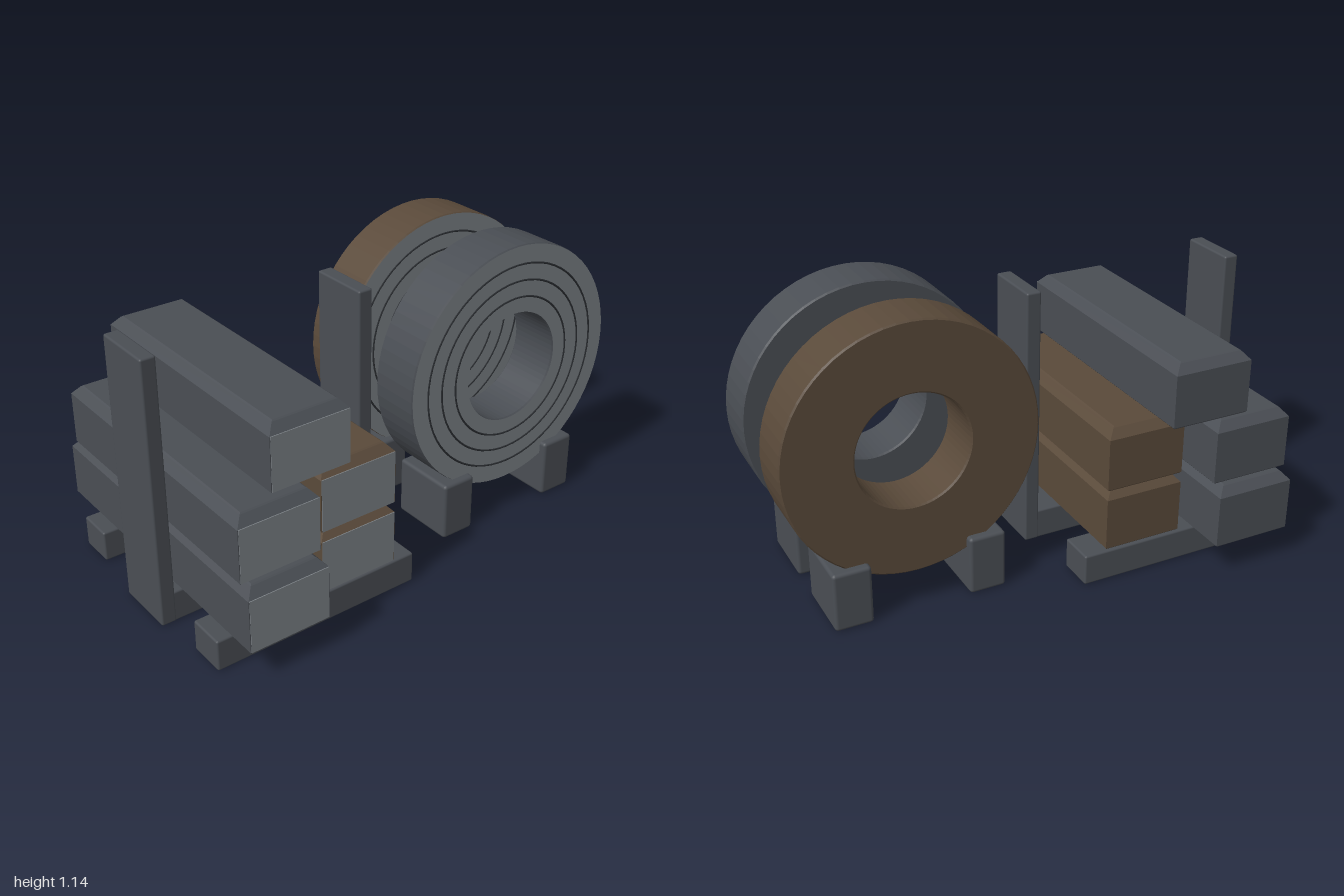
import * as THREE from 'three';
import { RoundedBoxGeometry } from 'three/addons/geometries/RoundedBoxGeometry.js';

const material = (name, color) => {
  const m = new THREE.MeshStandardMaterial({ color });
  m.name = name;
  return m;
};

// Hard-edged copy of a geometry
function faceted(geo) {
  const g = geo.index ? geo.toNonIndexed() : geo;
  g.computeVertexNormals();
  return g;
}

// Ingot body: rectangular sections stacked upward, chamfered at the top
function ingotGeometry(w, h, d) {
  const sections = [[0, 0.007], [0.007, 0], [h - 0.038, 0], [h - 0.004, 0.03], [h, 0.036]];
  const pos = [], idx = [];
  for (const [y, inset] of sections) {
    const x = w / 2 - inset, z = d / 2 - inset;
    pos.push(-x, y, z, x, y, z, x, y, -z, -x, y, -z);
  }
  for (let s = 0; s < sections.length - 1; s++) {
    for (let i = 0; i < 4; i++) {
      const a = s * 4 + i, b = s * 4 + (i + 1) % 4;
      idx.push(a, b, b + 4, a, b + 4, a + 4);
    }
  }
  const t = (sections.length - 1) * 4;
  idx.push(0, 2, 1, 0, 3, 2, t, t + 1, t + 2, t, t + 2, t + 3);
  const g = new THREE.BufferGeometry();
  g.setAttribute('position', new THREE.Float32BufferAttribute(pos, 3));
  g.setIndex(idx);
  return faceted(g);
}

export function createModel() {
  const model = new THREE.Group();
  model.name = 'metalStockStorage';
  const steel = material('darkSteel', 0x4a4e54);
  const rust = material('rustBrown', 0x5a4a3a);
  const cut = material('cutFaceGrey', 0x7d8388);
  const line = material('windingLine', 0x2b2e32);

  const add = (parent, name, geo, mat, x = 0, y = 0, z = 0) => {
    const mesh = new THREE.Mesh(geo, mat);
    mesh.name = name;
    mesh.position.set(x, y, z);
    parent.add(mesh);
    return mesh;
  };
  // Softened box given by its limits on each axis
  const box = (parent, name, [x0, x1], [y0, y1], [z0, z1], r = 0.008) =>
    add(parent, name, new RoundedBoxGeometry(x1 - x0, y1 - y0, z1 - z0, 2, r), steel,
      (x0 + x1) / 2, (y0 + y1) / 2, (z0 + z1) / 2);

  // Rack: three bearers and two upright posts
  const rack = new THREE.Group();
  rack.name = 'rack';
  model.add(rack);
  box(rack, 'frontBearer', [-0.97, -0.112], [0, 0.125], [0.352, 0.503]);
  box(rack, 'backBearer', [-0.97, -0.112], [0, 0.125], [-0.456, -0.306]);
  box(rack, 'middleBearer', [-0.97, -0.085], [0, 0.125], [-0.073, 0.174]);
  box(rack, 'rightPost', [-1, -0.94], [0, 1.067], [-0.075, 0.176]);
  box(rack, 'leftPost', [-0.115, -0.055], [0, 1.067], [-0.075, 0.176]);

  // Stacked ingots: centre x, bottom y, back z, front z, colour
  const ingots = [
    [-0.752, 0.127, -0.628, 0.628, steel],
    [-0.752, 0.381, -0.581, 0.581, steel],
    [-0.367, 0.127, -0.45, 0.503, rust],
    [-0.367, 0.381, -0.45, 0.503, rust],
    [-0.579, 0.635, -0.544, 0.521, steel],
  ];
  const w = 0.325, h = 0.254;
  ingots.forEach(([x, y, z0, z1, mat], i) => {
    const ingot = new THREE.Group();
    ingot.name = 'ingot' + (i + 1);
    ingot.position.set(x, y, (z0 + z1) / 2);
    model.add(ingot);
    add(ingot, 'ingotBody', ingotGeometry(w, h, z1 - z0), mat);
    add(ingot, 'ingotCutFace', new THREE.BoxGeometry(w - 0.006, h - 0.044, 0.005), cut,
      0, (h - 0.03) / 2, (z1 - z0) / 2);
  });

  // Coils, each standing on two chocks: back z, front z, colour
  const R = 0.498, r = 0.223, b = 0.006;
  [['frontCoil', 0.13, 0.341, steel], ['backCoil', -0.284, -0.073, rust]].forEach(([name, z0, z1, mat]) => {
    const coil = new THREE.Group();
    coil.name = name;
    coil.position.set(0.5, 0.647, (z0 + z1) / 2);
    model.add(coil);
    const d = (z1 - z0) / 2;
    const profile = [
      [r, b - d], [r + b, -d], [R - b, -d], [R, b - d],
      [R, d - b], [R - b, d], [r + b, d], [r, d - b], [r, b - d],
    ].map(([x, y]) => new THREE.Vector2(x, y));
    const body = new THREE.LatheGeometry(profile, 64).rotateX(Math.PI / 2);
    add(coil, 'coilBody', faceted(body), mat);
    add(coil, 'coilCutFace', new THREE.RingGeometry(r + 0.002, R - 0.002, 64), cut, 0, 0, d + 0.002);
    // Winding lines on the cut face
    for (const radius of [0.288, 0.355, 0.422]) {
      add(coil, 'windingRing', new THREE.TorusGeometry(radius, 0.0045, 6, 64), line, 0, 0, d + 0.001);
    }
    for (const [x0, x1] of [[0.155, 0.303], [0.692, 0.843]]) {
      box(model, name + 'Chock', [x0, x1], [0, 0.24], [z0 - 0.032, z1 + 0.032], 0.014);
    }
  });
  return model;
}
